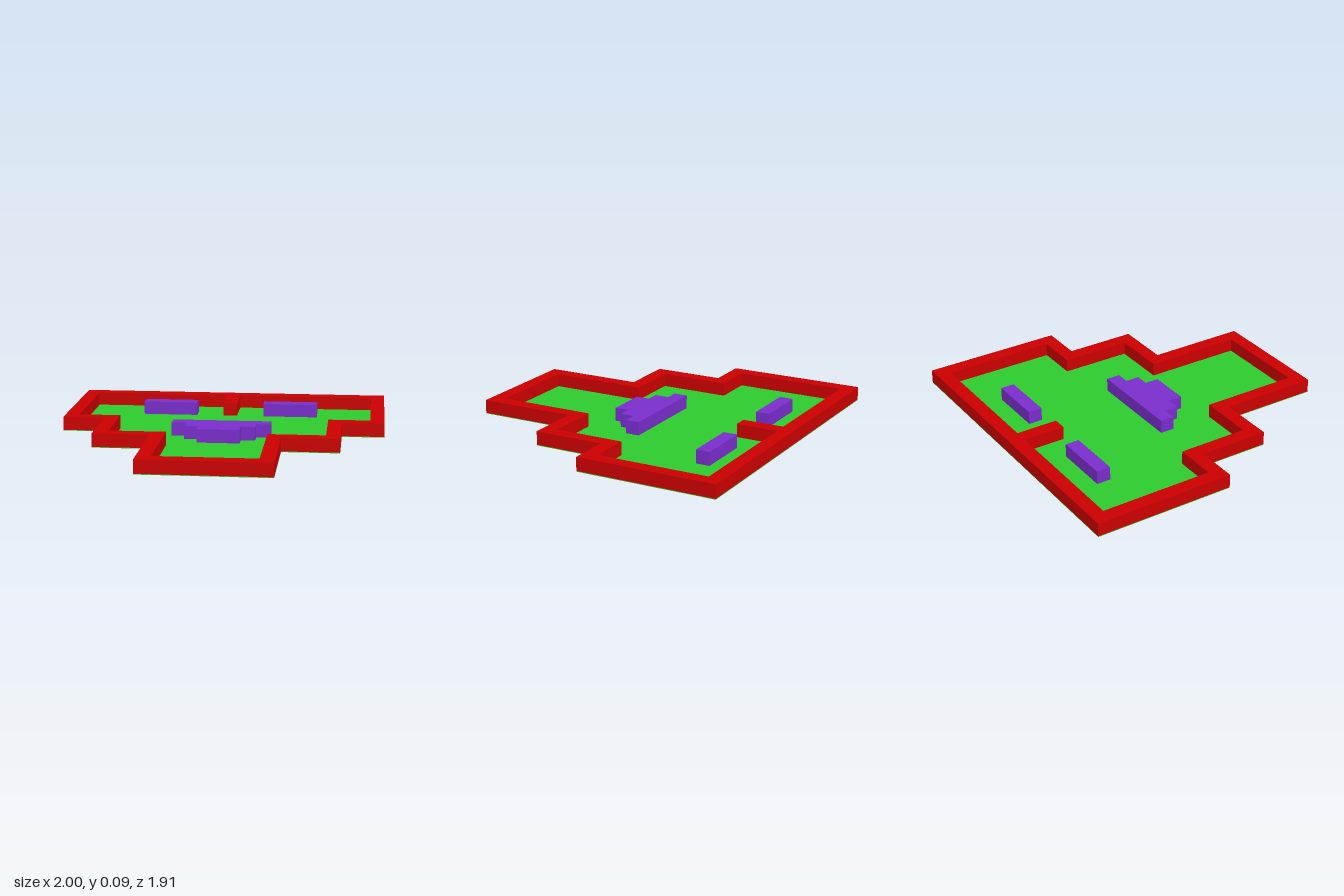
import * as THREE from 'three';

const U = 1 / 23;          // grid unit of the plan
const FLOOR = 0.1;         // floor thickness in units
const TOP = 2;             // height of walls and raised blocks in units

const red = new THREE.MeshStandardMaterial({ color: 0xcc0000 });
const green = new THREE.MeshStandardMaterial({ color: 0x2dcc2d });
const purple = new THREE.MeshStandardMaterial({ color: 0x7a2dcc });

// Closed counter-clockwise outline mirrored about x = 0 from its right half,
// listed back to front as [x, z] in units
function mirrored(half) {
  const other = half.map(([x, z]) => [-x, z]).reverse();
  return [...half, ...other].reverse().map(([x, z]) => new THREE.Vector2(x * U, -z * U));
}

// Plan shape raised from y0 to y1 (units)
function slab(name, shape, y0, y1, material) {
  const geometry = new THREE.ExtrudeGeometry(shape, { depth: (y1 - y0) * U, bevelEnabled: false });
  geometry.rotateX(-Math.PI / 2).translate(0, y0 * U, 0);
  const mesh = new THREE.Mesh(geometry, material);
  mesh.name = name;
  return mesh;
}

export function createModel() {
  const model = new THREE.Group();
  model.name = 'steppedFaceTray';

  const outer = mirrored([[23, -22], [23, -2], [17, -2], [17, 8], [9, 8], [9, 22]]);
  // Inner edge includes the short divider at the middle of the back wall
  const inner = mirrored([
    [1, -14], [1, -20], [21, -20], [21, -4], [15, -4], [15, 6], [7, 6], [7, 20],
  ]);

  // Thin floor plate under everything
  model.add(slab('floor', new THREE.Shape(outer), 0, FLOOR, green));

  // Border wall with divider
  const wall = new THREE.Shape(outer);
  wall.holes.push(new THREE.Path(inner));
  model.add(slab('borderWall', wall, FLOOR, TOP, red));

  // Two bar-shaped eyes
  for (const [name, side] of [['leftEye', 1], ['rightEye', -1]]) {
    const eye = new THREE.Mesh(new THREE.BoxGeometry(8 * U, (TOP - FLOOR) * U, 2 * U), purple);
    eye.position.set(side * 9 * U, (TOP + FLOOR) / 2 * U, -15 * U);
    eye.name = name;
    model.add(eye);
  }

  // Mouth stepping inwards towards the front
  const mouth = mirrored([[7, -2], [7, 0], [5, 0], [5, 2], [3, 2], [3, 4]]);
  model.add(slab('mouth', new THREE.Shape(mouth), FLOOR, TOP, purple));

  return model;
}
